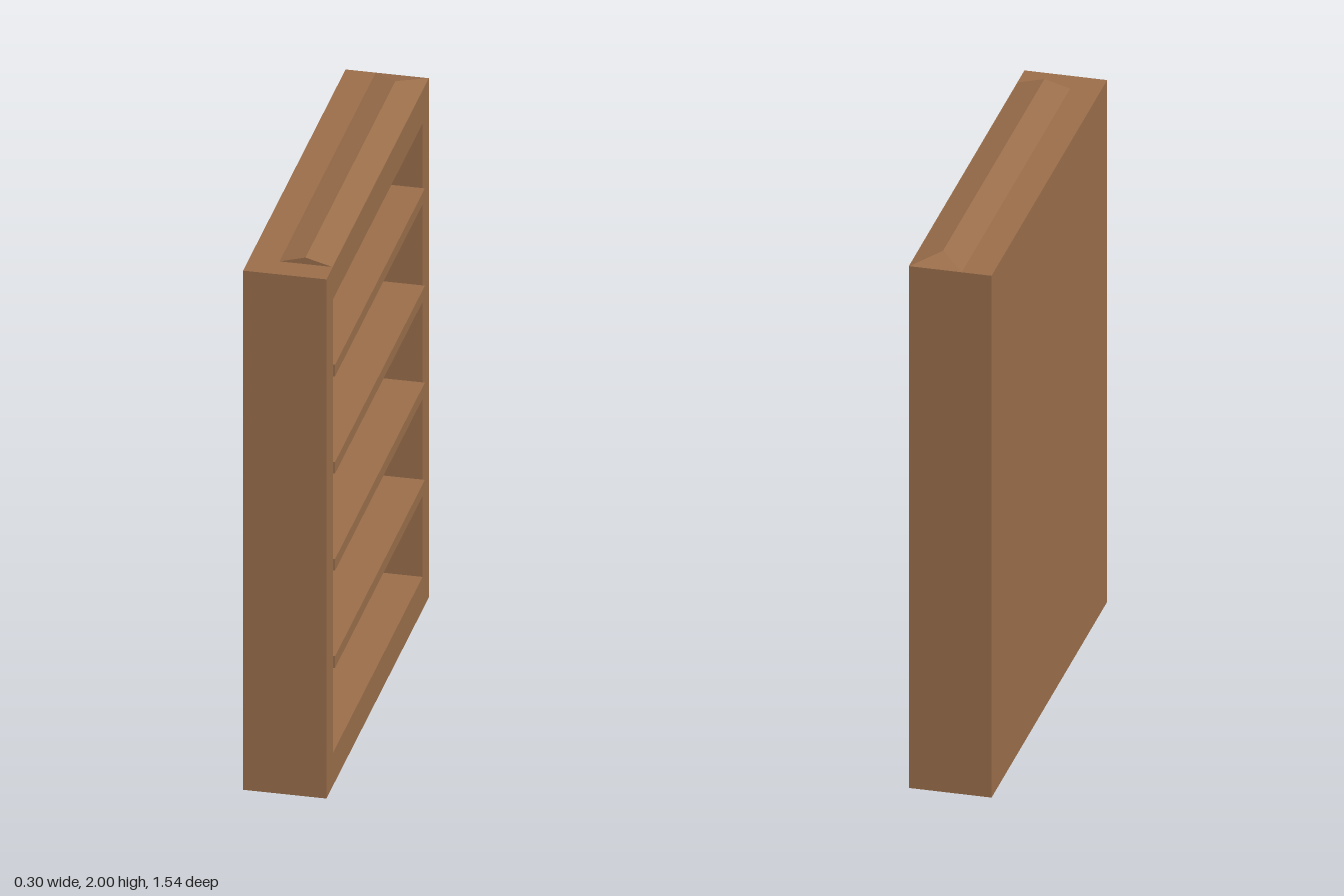
import * as THREE from 'three';
import { ConvexGeometry } from 'three/addons/geometries/ConvexGeometry.js';

const HALF_Z = 0.77, INNER_Z = 0.675, HEIGHT = 1.975;
const BACK = -0.15, RECESS = -0.045, FRONT = 0.14, LIP = 0.148;

export function createModel() {
  const group = new THREE.Group();
  const wood = new THREE.MeshStandardMaterial({ color: 0x9d704c });
  wood.name = 'brown wood';

  const add = (name, geometry) => {
    const mesh = new THREE.Mesh(geometry, wood);
    mesh.name = name;
    group.add(mesh);
    return mesh;
  };

  // Extrudes an x/y outline along z between z0 and z1
  const prism = (points, z0, z1) => {
    const shape = new THREE.Shape(points.map(([x, y]) => new THREE.Vector2(x, y)));
    return new THREE.ExtrudeGeometry(shape, { depth: z1 - z0, bevelEnabled: false }).translate(0, 0, z0);
  };

  // Solid back panel
  add('backPanel', new THREE.BoxGeometry(RECESS - BACK, HEIGHT, 2 * HALF_Z)
    .translate((BACK + RECESS) / 2, HEIGHT / 2, 0));

  // Frame around the opening
  const rect = (path, w, y0, y1) => path.moveTo(-w, y0).lineTo(w, y0).lineTo(w, y1).lineTo(-w, y1).closePath();
  const outline = rect(new THREE.Shape(), HALF_Z, 0, HEIGHT);
  outline.holes.push(rect(new THREE.Path(), INNER_Z, 0.125, 1.85));
  add('frame', new THREE.ExtrudeGeometry(outline, { depth: FRONT - RECESS, bevelEnabled: false })
    .rotateY(Math.PI / 2).translate(RECESS, 0, 0));

  // Low ridge on top, upright at one end and hipped at the other
  add('topRidge', new ConvexGeometry([
    [RECESS, HEIGHT, INNER_Z], [FRONT - 0.002, HEIGHT, INNER_Z], [0.045, 2, INNER_Z],
    [RECESS, HEIGHT, -HALF_Z], [FRONT - 0.002, HEIGHT, -HALF_Z], [0.045, 2, -INNER_Z],
  ].map((p) => new THREE.Vector3(...p))));

  // Shelves with a sloping underside, each carried by seven wedge brackets
  for (const top of [0.495, 0.865, 1.234, 1.604]) {
    add('shelf', prism([
      [RECESS, top - 0.069], [LIP, top - 0.044], [LIP, top], [RECESS, top],
    ], -INNER_Z, INNER_Z));
    for (let i = 0; i < 7; i++) {
      const z = 0.535 - i * 0.1936;
      add('bracket', prism([
        [RECESS, top - 0.125], [LIP - 0.003, top - 0.045], [RECESS, top - 0.06],
      ], z - 0.044, z + 0.044));
    }
  }
  return group;
}
